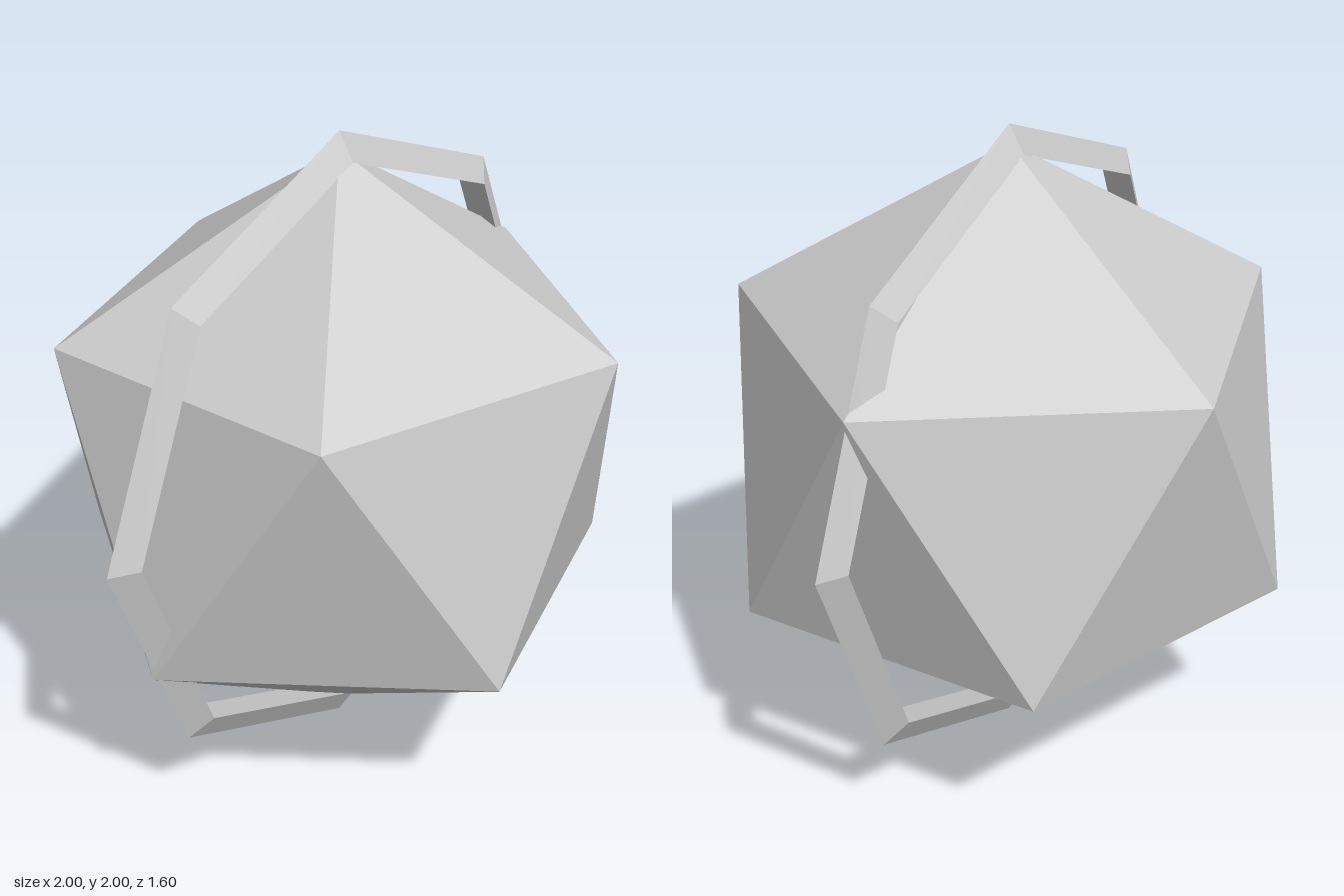
import * as THREE from 'three';

const RADIUS = 0.943; // shared by the gem and the ring's centre line
const TUBE = 0.057;

export function createModel() {
  const group = new THREE.Group();
  const grey = new THREE.MeshStandardMaterial({ color: 0xcccccc });
  grey.name = 'light grey';

  // Adds a faceted part centred at the model's middle height
  const addPart = (name, geometry) => {
    const faceted = geometry.index ? geometry.toNonIndexed() : geometry;
    faceted.computeVertexNormals();
    const mesh = new THREE.Mesh(faceted, grey);
    mesh.name = name;
    mesh.position.y = 1;
    group.add(mesh);
  };

  // Icosahedron turned to stand on one corner
  const tilt = Math.atan(2 / (1 + Math.sqrt(5)));
  addPart('gem', new THREE.IcosahedronGeometry(RADIUS, 0).rotateZ(-tilt));

  // Eight-sided upright ring with a triangular section, sharp edge outward
  addPart('ring', new THREE.TorusGeometry(RADIUS, TUBE, 3, 8));

  return group;
}
